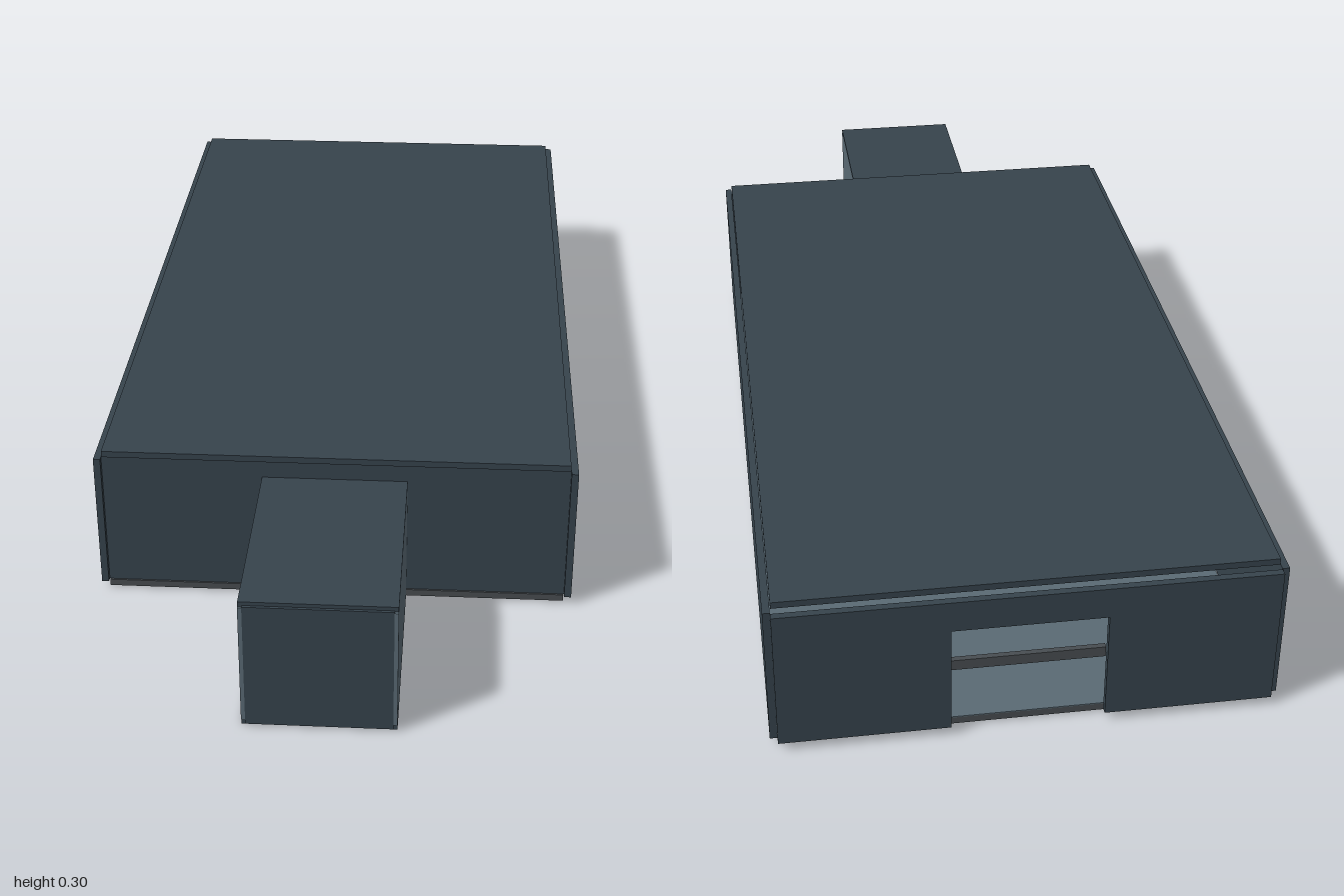
import * as THREE from 'three';

const slate = new THREE.MeshStandardMaterial({ color: 0x36434c });
const paleSlate = new THREE.MeshStandardMaterial({ color: 0x5a6a74 });
const grey = new THREE.MeshStandardMaterial({ color: 0x484d51 });

// Box panel given by its minimum and maximum on each axis
function panel(parent, name, [x0, x1], [y0, y1], [z0, z1], material = slate) {
  const mesh = new THREE.Mesh(new THREE.BoxGeometry(x1 - x0, y1 - y0, z1 - z0), material);
  mesh.position.set((x0 + x1) / 2, (y0 + y1) / 2, (z0 + z1) / 2);
  mesh.name = name;
  parent.add(mesh);
}

export function createModel() {
  const model = new THREE.Group();
  model.name = 'hall';
  const mirrored = (parent, name, [a, b], y, z, material) => {
    panel(parent, name + 'Left', [a, b], y, z, material);
    panel(parent, name + 'Right', [-b, -a], y, z, material);
  };

  // Main room: floor and roof slabs, with walls standing clear of them
  const wallY = [0.017, 0.284];
  const room = new THREE.Group();
  room.name = 'room';
  panel(room, 'floor', [-0.427, 0.427], [0.003, 0.016], [-0.975, 0.605], grey);
  panel(room, 'floorCovering', [-0.427, 0.427], [0.016, 0.018], [-0.975, 0.59], paleSlate);
  panel(room, 'roof', [-0.427, 0.427], [0.285, 0.297], [-0.975, 0.605]);
  mirrored(room, 'sideWall', [0.428, 0.441], wallY, [-0.985, 0.613]);

  // End walls with a central doorway and a lintel above it
  for (const [name, z] of [['front', [0.59, 0.603]], ['back', [-1, -0.987]]]) {
    mirrored(room, name + 'Wall', [0.133, 0.428], wallY, z);
    panel(room, name + 'Lintel', [-0.133, 0.133], [name === 'front' ? 0.25 : 0.225, 0.284], z);
  }
  panel(room, 'doorwayBar', [-0.133, 0.133], [0.13, 0.15], [-0.985, -0.975], grey);
  model.add(room);

  // Entrance corridor projecting from the front
  const corridor = new THREE.Group();
  corridor.name = 'corridor';
  panel(corridor, 'corridorFloor', [-0.133, 0.133], [0, 0.012], [0.6, 0.995]);
  panel(corridor, 'corridorRoof', [-0.133, 0.133], [0.243, 0.252], [0.6, 0.995]);
  mirrored(corridor, 'corridorWall', [0.126, 0.133], [0.012, 0.243], [0.6, 1], paleSlate);
  panel(corridor, 'corridorEnd', [-0.126, 0.126], [0.004, 0.245], [0.988, 1]);
  model.add(corridor);
  return model;
}
